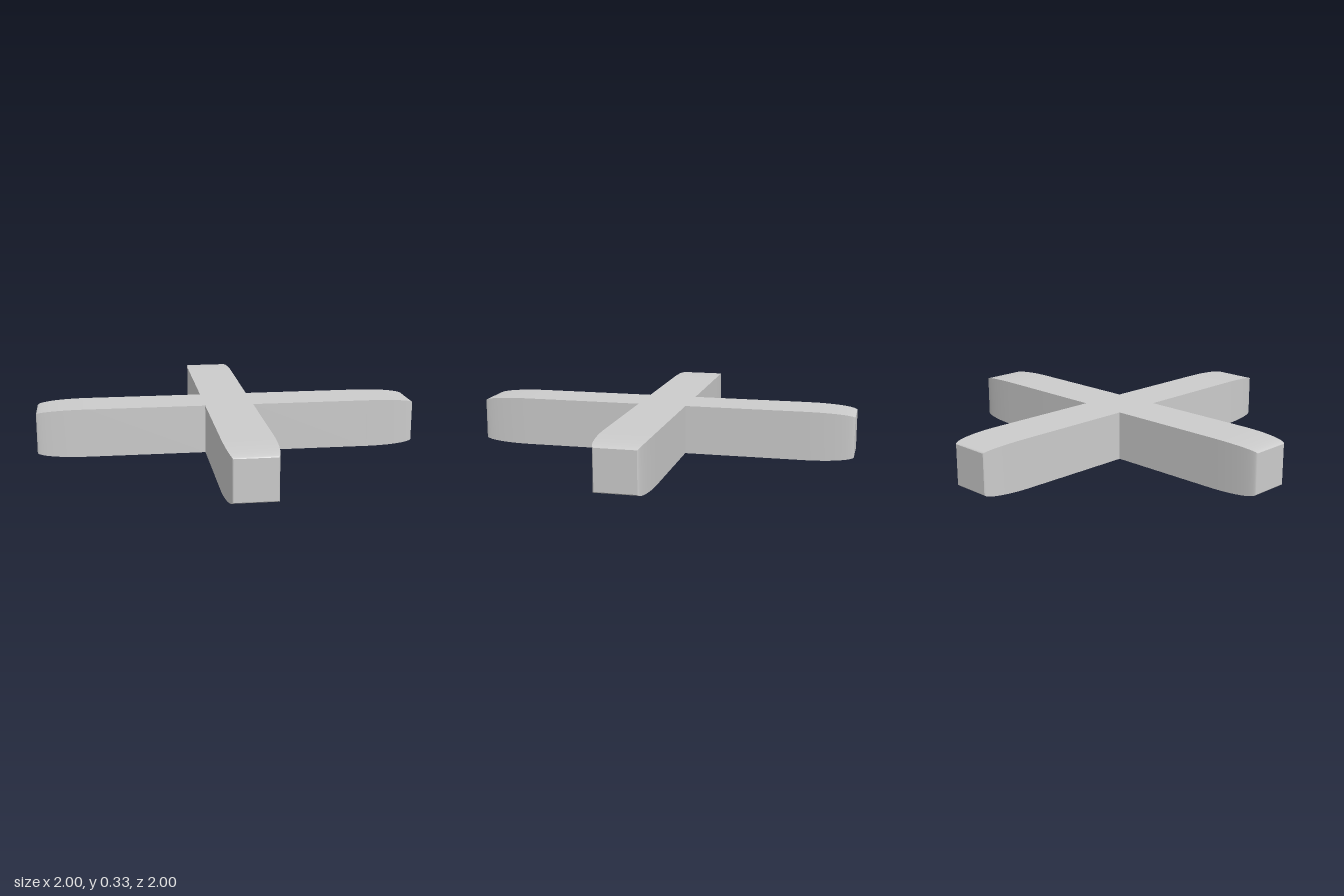
import * as THREE from 'three';
import { mergeGeometries } from 'three/addons/utils/BufferGeometryUtils.js';

const HALF = 0.1626;      // half thickness of the square arms
const TIP = 0.131;        // half thickness at the blunt tips
const LENGTH = 1.283;     // centre to tip
const TAPER = 0.95;       // where the rounding toward the tip begins
const STEPS = 14;

// One side of an arm along +z: flat from the hub, then an elliptical taper
function armSide() {
  const g = new THREE.PlaneGeometry(1, 1, 1, STEPS).rotateX(-Math.PI / 2);
  const p = g.attributes.position;
  for (let i = 0; i < p.count; i++) {
    const row = Math.round((p.getZ(i) + 0.5) * STEPS);
    let along = HALF, r = HALF;
    if (row > 0) {
      const angle = ((row - 1) / (STEPS - 1)) * Math.PI / 2;
      along = TAPER + (LENGTH - TAPER) * Math.sin(angle);
      r = TIP + (HALF - TIP) * Math.cos(angle);
    }
    p.setXYZ(i, Math.sign(p.getX(i)) * r, r, along);
  }
  g.computeVertexNormals();
  return g;
}

// Four equal sides around the axis, closed by a square tip
function armGeometry() {
  const parts = [new THREE.PlaneGeometry(2 * TIP, 2 * TIP).translate(0, 0, LENGTH)];
  for (let k = 0; k < 4; k++) parts.push(armSide().rotateZ(k * Math.PI / 2));
  return mergeGeometries(parts);
}

export function createModel() {
  const model = new THREE.Group();
  model.name = 'cross';
  const material = new THREE.MeshStandardMaterial({ color: 0xcccccc });

  // Four diagonal arms
  const geometry = armGeometry();
  ['frontLeftArm', 'backLeftArm', 'backRightArm', 'frontRightArm'].forEach((name, k) => {
    const arm = new THREE.Mesh(geometry, material);
    arm.name = name;
    arm.rotation.y = Math.PI / 4 + k * Math.PI / 2;
    arm.position.y = HALF;
    model.add(arm);
  });

  // Flat top and bottom where the arms meet
  const plate = () => new THREE.PlaneGeometry(2 * HALF, 2 * HALF);
  const hub = new THREE.Mesh(mergeGeometries([
    plate().rotateX(-Math.PI / 2).translate(0, HALF, 0),
    plate().rotateX(Math.PI / 2).translate(0, -HALF, 0),
  ]), material);
  hub.name = 'hub';
  hub.rotation.y = Math.PI / 4;
  hub.position.y = HALF;
  model.add(hub);

  return model;
}
